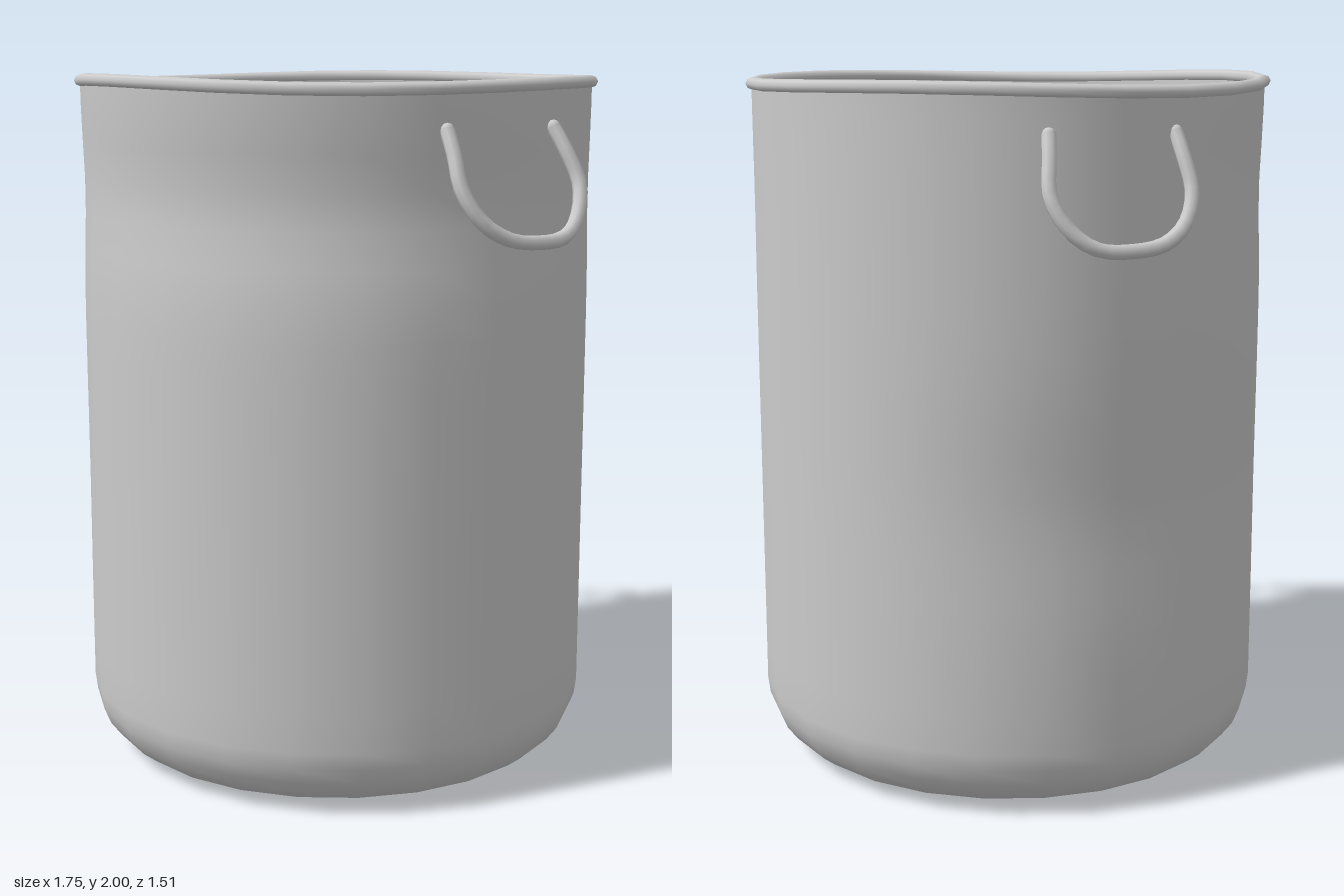
import * as THREE from 'three';
import { mergeVertices } from 'three/addons/utils/BufferGeometryUtils.js';

const SIDES = 24;
const bell = (d, width) => Math.exp(-(d * d) / (width * width));
const angleGap = (a, b) => Math.atan2(Math.sin(a - b), Math.cos(a - b));

// Shallow dents in the wall: angle from +z towards +x, height, spreads, depth
const dents = [
  { angle: 0.8, y: 1.66, spread: 1.1, rise: 0.17, depth: 0.036 },
  { angle: -1.57, y: 0.85, spread: 0.6, rise: 0.25, depth: 0.022 },
];

// Lathe a profile, then dent the wall and let the top edge waver
function batteredLathe(profile) {
  const geo = new THREE.LatheGeometry(profile.map(([r, y]) => new THREE.Vector2(r, y)), SIDES);
  const pos = geo.attributes.position;
  for (let i = 0; i < pos.count; i++) {
    const x = pos.getX(i), y = pos.getY(i), z = pos.getZ(i);
    const r = Math.hypot(x, z);
    const angle = Math.atan2(x, z);
    let push = 0;
    if (r > 0.6) {
      for (const d of dents) {
        push += d.depth * bell(angleGap(angle, d.angle), d.spread) * bell(y - d.y, d.rise);
      }
    }
    const k = r > 0 ? 1 - push / r : 1;
    const waver = y > 1.9 ? 0.006 * Math.sin(3 * angle + 2) + 0.004 * Math.cos(2 * angle) : 0;
    pos.setXYZ(i, x * k, y + waver, z * k);
  }
  // Weld the seam so the shading runs round smoothly
  geo.deleteAttribute('uv');
  geo.deleteAttribute('normal');
  const welded = mergeVertices(geo, 1e-4);
  welded.computeVertexNormals();
  return welded;
}

// Wall profile: flat base, rounded corner, straight side
function wallProfile(radius, base, corner, top) {
  const pts = [[0, base], [radius - corner - 0.05, base]];
  for (let i = 0; i <= 6; i++) {
    const a = (i / 6) * Math.PI / 2;
    pts.push([radius - corner + corner * Math.sin(a), base + corner * (1 - Math.cos(a))]);
  }
  for (let y = 0.3; y < top - 0.05; y += 0.1) pts.push([radius, y]);
  pts.push([radius, top]);
  return pts;
}

export function createModel() {
  const group = new THREE.Group();
  const metal = new THREE.MeshStandardMaterial({ color: 0xcccccc });
  const add = (name, geo, parent = group) => {
    const mesh = new THREE.Mesh(geo, metal);
    mesh.name = name;
    parent.add(mesh);
    return mesh;
  };

  // Pot wall, outside and inside
  add('potOutside', batteredLathe(wallProfile(0.74, 0, 0.19, 1.97)));
  add('potInside', batteredLathe(wallProfile(0.722, 0.02, 0.18, 1.97).reverse()));

  // Rolled rim
  const rim = [];
  for (let i = 0; i <= 8; i++) {
    const a = (i / 8) * Math.PI * 2;
    rim.push([0.735 + 0.022 * Math.cos(a), 1.972 + 0.018 * Math.sin(a)]);
  }
  add('rim', batteredLathe(rim));

  // Drooping wire handles, one each side
  const path = new THREE.CatmullRomCurve3([
    [0.715, 1.86, 0.16], [0.75, 1.8, 0.165], [0.79, 1.71, 0.17], [0.825, 1.63, 0.13],
    [0.848, 1.585, 0.06], [0.855, 1.572, -0.04], [0.848, 1.58, -0.13],
    [0.825, 1.625, -0.195], [0.79, 1.71, -0.235], [0.75, 1.8, -0.22], [0.715, 1.86, -0.205],
  ].map((p) => new THREE.Vector3(...p)));
  for (const [name, side] of [['leftHandle', 1], ['rightHandle', -1]]) {
    const handle = new THREE.Group();
    handle.name = name;
    handle.scale.x = side;
    group.add(handle);
    add(name + 'Wire', new THREE.TubeGeometry(path, 28, 0.02, 8), handle);
    // Rounded wire ends
    for (const t of [0, 1]) {
      const end = add(name + 'End', new THREE.SphereGeometry(0.02, 8, 6), handle);
      end.position.copy(path.getPoint(t));
    }
  }
  return group;
}
